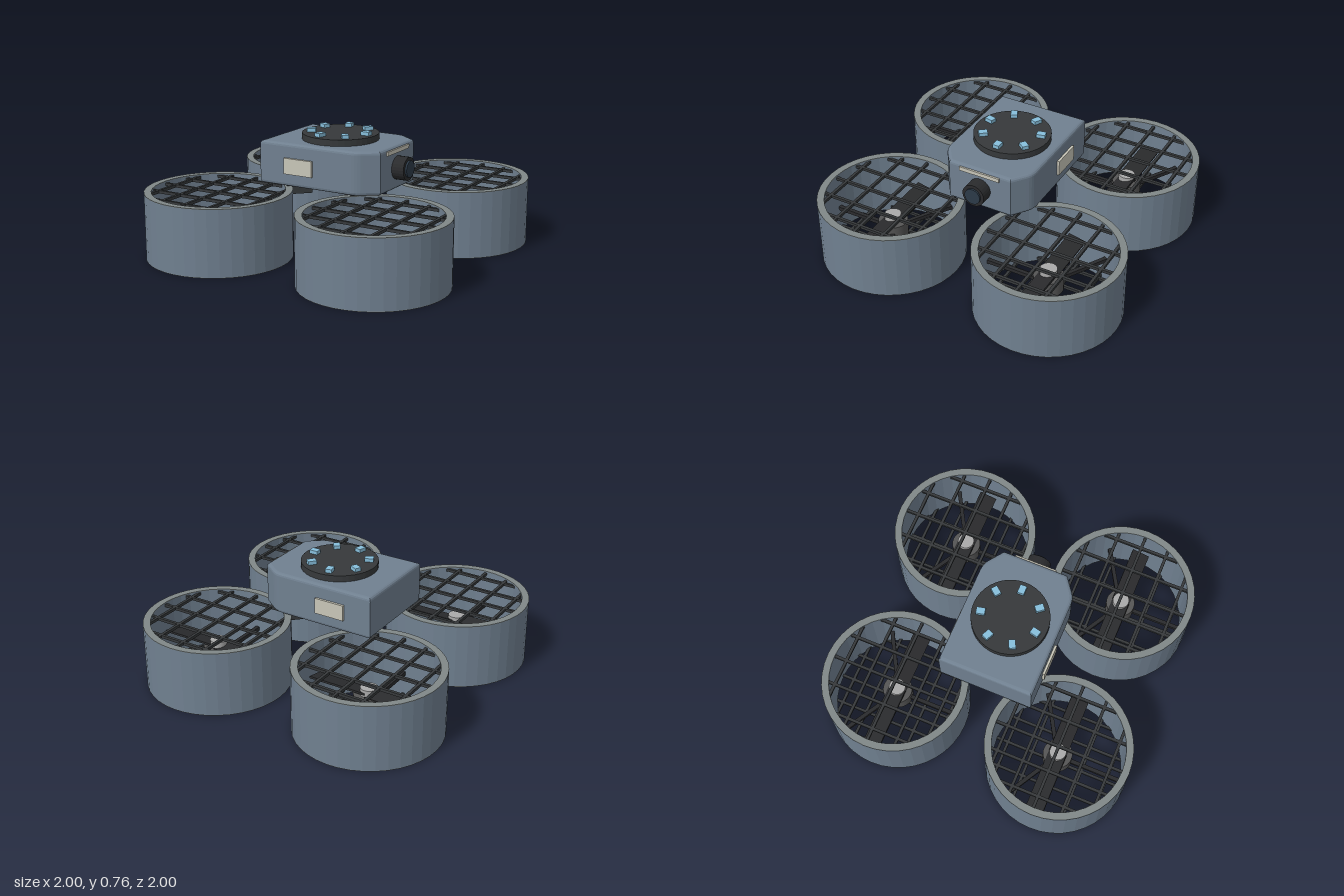
import * as THREE from 'three';

const mat = (color, flatShading = false) => new THREE.MeshStandardMaterial({ color, flatShading });
const shell = mat(0x708090, true);
const rimGrey = mat(0x808888, true);
const dark = mat(0x36393b, true);
const black = mat(0x2a2b2d, true);
const motorGrey = mat(0x555555);
const capGrey = mat(0xaaaaaa);
const beige = mat(0xc8c6b8);
const blue = mat(0x87bfdc);
const glass = mat(0x2c3a48);

const DUCT = 0.545, OUTER = 0.455, INNER = 0.41, HEIGHT = 0.42;

function add(parent, name, geometry, material, x = 0, y = 0, z = 0) {
  const mesh = new THREE.Mesh(geometry, material);
  mesh.name = name;
  mesh.position.set(x, y, z);
  parent.add(mesh);
  return mesh;
}

const box = (x, y, z) => new THREE.BoxGeometry(x, y, z);
const cyl = (r, h, n = 32) => new THREE.CylinderGeometry(r, r, h, n);

// Closed ring with a rectangular section
function ring(y0, y1) {
  const p = [[INNER, y0], [OUTER, y0], [OUTER, y1], [INNER, y1], [INNER, y0]];
  return new THREE.LatheGeometry(p.map(([r, y]) => new THREE.Vector2(r, y)), 40);
}

// Crossed guard bars, each cut to the chord of the duct
function guard(y) {
  const g = new THREE.Group();
  g.name = 'guardGrid';
  for (let i = -2; i <= 2; i++) {
    const d = i * 0.167;
    const len = 2 * Math.sqrt(0.424 ** 2 - d * d);
    add(g, 'guardBarX', box(len, 0.018, 0.018), dark, 0, y, d);
    add(g, 'guardBarZ', box(0.018, 0.018, len), dark, d, y, 0);
  }
  return g;
}

function rotorUnit() {
  const g = new THREE.Group();
  g.name = 'ductedRotor';
  add(g, 'ductWall', ring(0.004, HEIGHT - 0.004), shell);
  add(g, 'topRim', ring(HEIGHT - 0.004, HEIGHT), rimGrey);
  add(g, 'bottomRim', ring(0, 0.004), rimGrey);
  g.add(guard(0.4), guard(0.02));

  // Motor, cap and pitched blades
  add(g, 'motor', cyl(0.092, 0.1), motorGrey, 0, 0.18, 0);
  add(g, 'motorCap', cyl(0.052, 0.05), capGrey, 0, 0.25, 0);
  for (const s of [-1, 1]) {
    const blade = add(g, 'blade', box(0.375, 0.012, 0.115), black, s * 0.1875, 0.24, 0);
    blade.rotation.x = s * 0.2;
  }

  // Three struts hold the motor
  for (let i = 0; i < 3; i++) {
    const a = Math.PI / 6 + i * Math.PI * 2 / 3;
    const strut = add(g, 'motorStrut', box(0.34, 0.025, 0.025), black,
      Math.cos(a) * 0.25, 0.17, -Math.sin(a) * 0.25);
    strut.rotation.y = a;
  }
  return g;
}

// Body outline with the two nose corners cut off, rounded by a bevel
function bodyGeometry() {
  const b = 0.02, x = 0.4 - b, z = 0.3 - b;
  const s = new THREE.Shape();
  s.moveTo(-x, -z);
  s.lineTo(0.23, -z);
  s.quadraticCurveTo(0.275, -z, 0.305, -0.255);
  s.lineTo(x, -0.2);
  s.lineTo(x, 0.2);
  s.lineTo(0.305, 0.255);
  s.quadraticCurveTo(0.275, z, 0.23, z);
  s.lineTo(-x, z);
  s.closePath();
  const geo = new THREE.ExtrudeGeometry(s, {
    depth: 0.27 - 2 * b, bevelThickness: b, bevelSize: b, bevelSegments: 3, curveSegments: 5,
  });
  geo.rotateX(-Math.PI / 2);
  geo.translate(0, 0.43 + b, 0);
  return geo;
}

export function createModel() {
  const model = new THREE.Group();
  model.name = 'quadDrone';

  // Four ducted rotors and the pylons that carry them
  for (const sx of [-1, 1]) {
    for (const sz of [-1, 1]) {
      const unit = rotorUnit();
      unit.position.set(sx * DUCT, 0, sz * DUCT);
      model.add(unit);
      const pylon = add(model, 'pylon', box(0.16, 0.065, 0.05), dark, sx * 0.19, 0.4, sz * 0.19);
      pylon.rotation.y = -sx * sz * Math.PI / 4;
    }
  }

  add(model, 'body', bodyGeometry(), shell);

  // Sensor turret with seven blue markers
  add(model, 'topDisc', cyl(0.24, 0.04, 40), dark, 0, 0.72, 0);
  for (let i = 0; i < 7; i++) {
    const a = i * Math.PI * 2 / 7;
    const light = add(model, 'discLight', box(0.055, 0.03, 0.042), blue,
      Math.cos(a) * 0.182, 0.748, -Math.sin(a) * 0.182);
    light.rotation.y = a;
  }

  // Side panels and nose strip
  for (const s of [-1, 1]) add(model, 'sidePanel', box(0.2, 0.1, 0.03), beige, -0.12, 0.56, s * 0.3);
  add(model, 'noseStrip', box(0.03, 0.025, 0.27), beige, 0.395, 0.672, 0);

  // Camera on the nose
  const barrel = add(model, 'cameraBarrel', cyl(0.073, 0.1, 24), black, 0.43, 0.563, 0);
  const lens = add(model, 'cameraLens', cyl(0.052, 0.03, 24), glass, 0.477, 0.563, 0);
  barrel.rotation.z = lens.rotation.z = -Math.PI / 2;

  return model;
}
